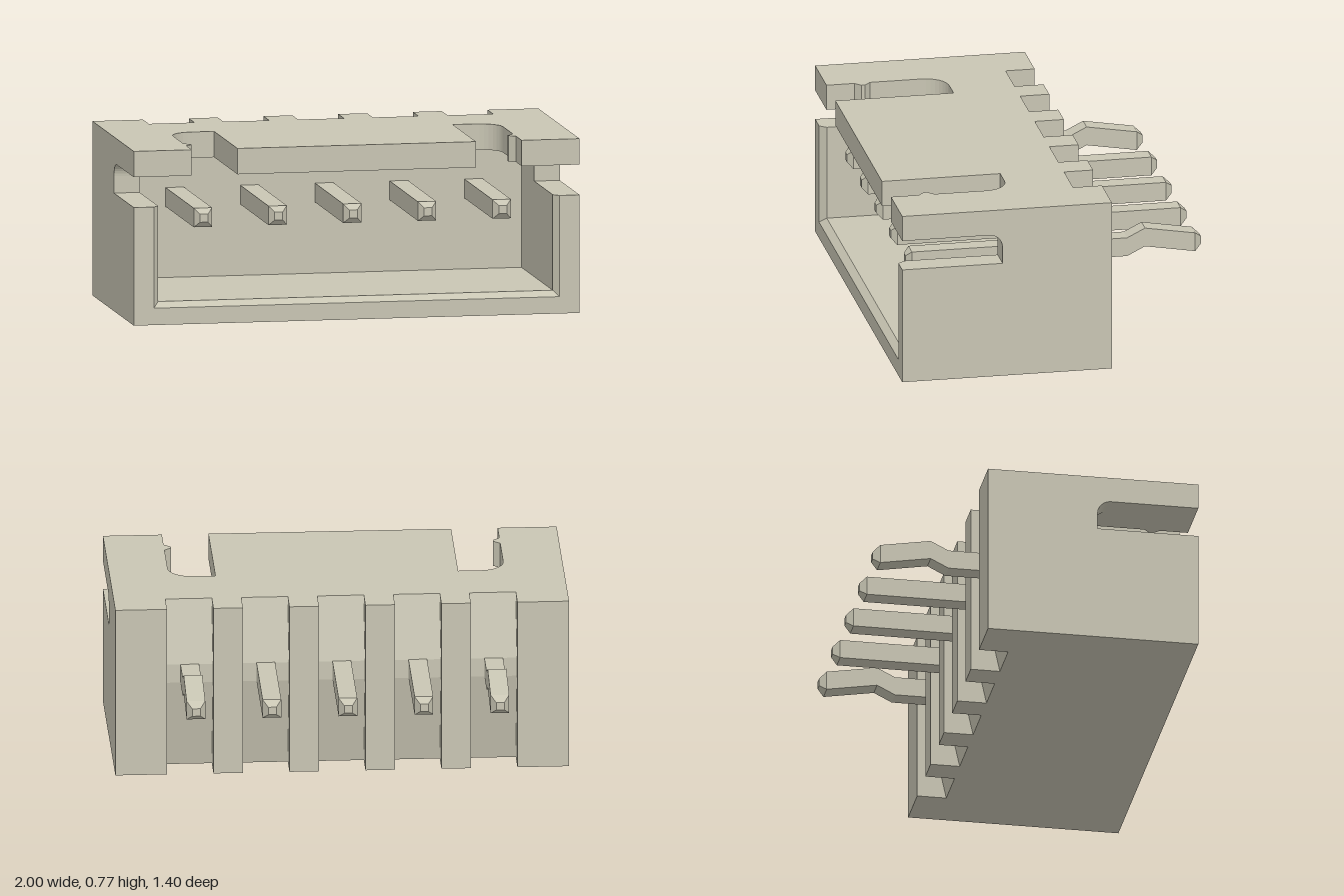
import * as THREE from 'three';

const BACK = -0.04;   // inner face of the rear wall
const FRONT = 0.7;
const H = 0.775, CEIL = 0.66, FLOOR = 0.1, SLOT = 0.525, INNER = 0.885;
const PITCH = 0.335, HALF_GROOVE = 0.1025, PIN = 0.041;

const shapeOf = pts => new THREE.Shape(pts.map(p => new THREE.Vector2(p[0], p[1])));

// Points of an arc, angles in quarter turns
function arc(cx, cy, r, q0, q1, n = 8) {
  return Array.from({ length: n + 1 }, (_, i) => {
    const a = (q0 + (q1 - q0) * i / n) * Math.PI / 2;
    return [cx + r * Math.cos(a), cy + r * Math.sin(a)];
  });
}

// Extrude a [z, y] profile from x0 to x1
function alongX(pts, x0, x1) {
  return new THREE.ExtrudeGeometry(shapeOf(pts), { depth: x1 - x0, bevelEnabled: false })
    .rotateY(-Math.PI / 2).translate(x1, 0, 0);
}

// Extrude an [x, z] outline from y0 to y1
function alongY(pts, y0, y1) {
  return new THREE.ExtrudeGeometry(shapeOf(pts), { depth: y1 - y0, bevelEnabled: false })
    .rotateX(Math.PI / 2).translate(0, y1, 0);
}

// Faceted bar through rectangular sections [z, yBottom, yTop, halfWidth], z rising
function bar(sections) {
  const rings = sections.map(([z, b, t, w]) => [[w, b, z], [w, t, z], [-w, t, z], [-w, b, z]]);
  const pos = [];
  const quad = (a, b, c, d) => pos.push(...a, ...b, ...c, ...a, ...c, ...d);
  for (let s = 0; s < rings.length - 1; s++) {
    for (let i = 0; i < 4; i++) {
      const j = (i + 1) % 4;
      quad(rings[s][i], rings[s][j], rings[s + 1][j], rings[s + 1][i]);
    }
  }
  quad(...rings[rings.length - 1]);
  quad(...[...rings[0]].reverse());
  const g = new THREE.BufferGeometry();
  g.setAttribute('position', new THREE.Float32BufferAttribute(pos, 3));
  g.computeVertexNormals();
  return g;
}

export function createModel() {
  const model = new THREE.Group();
  model.name = 'pinHeader';
  const ivory = new THREE.MeshStandardMaterial({ color: 0xc8c5b3 });
  ivory.name = 'warm ivory';

  const add = (parent, name, geometry) => {
    const m = new THREE.Mesh(geometry, ivory);
    m.name = name;
    parent.add(m);
    return m;
  };

  const housing = new THREE.Group();
  housing.name = 'housing';
  model.add(housing);

  // Floor with a chamfered front lip
  add(housing, 'floor', alongX(
    [[BACK, 0], [FRONT, 0], [FRONT, 0.075], [0.67, FLOOR], [BACK, FLOOR]], -1, 1));

  // Side walls: chamfered lower part, and the piece behind the open side slot
  const wallPlan = [[INNER, BACK], [1, BACK], [1, FRONT], [0.91, FRONT], [INNER, 0.67]];
  const slotEnd = [[BACK, SLOT], [0.25, SLOT], ...arc(0.31, 0.6, 0.06, 2, 1), [BACK, CEIL]];
  for (const s of [1, -1]) {
    const plan = wallPlan.map(([x, z]) => [s * x, z]);
    add(housing, s > 0 ? 'leftWall' : 'rightWall', alongY(plan, 0, SLOT));
    add(housing, s > 0 ? 'leftSlotEnd' : 'rightSlotEnd',
      s > 0 ? alongX(slotEnd, INNER, 1) : alongX(slotEnd, -1, -INNER));
  }

  // Roof with two rounded latch cutouts, each with a small detent
  const half = [
    [0.535, FRONT], [0.535, 0.17], ...arc(0.635, 0.275, 0.105, -1, 0),
    [0.74, 0.505], [0.71, 0.532], [0.71, 0.548], [0.74, 0.575],
    [0.74, FRONT], [1, FRONT], [1, BACK],
  ];
  const mirrored = half.map(([x, z]) => [-x, z]).reverse();
  add(housing, 'roof', alongY([...half, ...mirrored], CEIL, H));

  // Rear wall: ribs with ridged grooves between them
  const groove = [[BACK, 0], [BACK, H], [-0.11, H], [-0.2, 0.5], [-0.2, 0.415], [-0.11, 0]];
  const rib = [[BACK, 0], [BACK, H], [-0.24, H], [-0.24, 0]];
  let x = -1;
  for (let i = -2; i <= 2; i++) {
    const c = i * PITCH;
    add(housing, 'rearRib', alongX(rib, x, c - HALF_GROOVE));
    add(housing, 'rearGroove', alongX(groove, c - HALF_GROOVE, c + HALF_GROOVE));
    x = c + HALF_GROOVE;
  }
  add(housing, 'rearRib', alongX(rib, x, 1));

  // Pins: the outer two have a kink behind the housing
  const pins = new THREE.Group();
  pins.name = 'pins';
  model.add(pins);
  const tail = [[-0.7, 0.442, 0.477, 0.018], [-0.67, 0.417, 0.502, PIN]];
  const kink = [[-0.445, 0.455, 0.54, PIN], [-0.365, 0.415, 0.5, PIN]];
  const nose = [[0.6, 0.415, 0.5, PIN], [0.625, 0.44, 0.476, 0.018]];
  for (let i = -2; i <= 2; i++) {
    const bent = Math.abs(i) === 2;
    const pin = add(pins, bent ? 'kinkedPin' : 'straightPin',
      bar([...tail, ...(bent ? kink : []), ...nose]));
    pin.position.x = i * PITCH;
  }
  return model;
}
